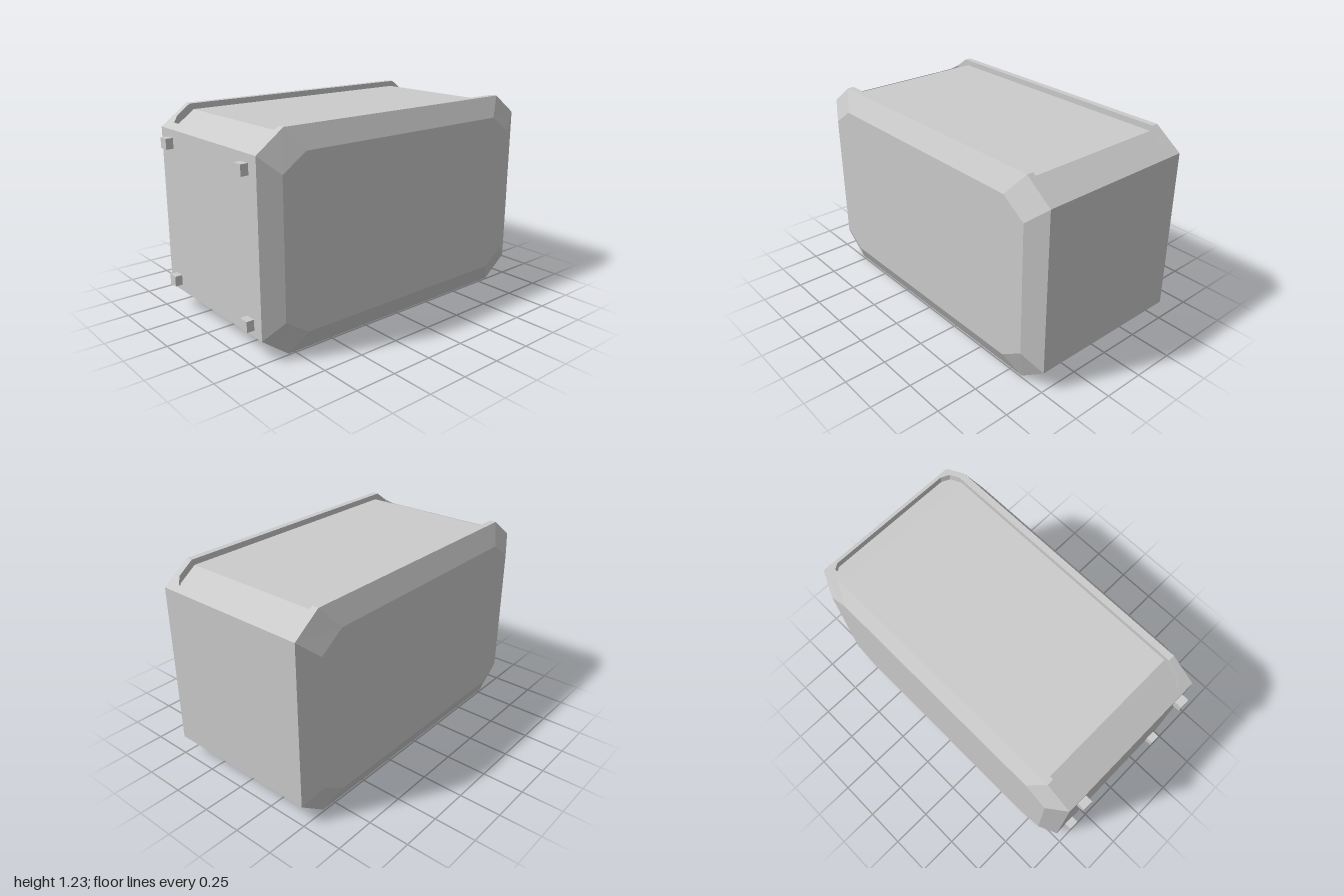
import * as THREE from 'three';

const material = new THREE.MeshStandardMaterial({ color: 0xcccccc, flatShading: true });

// Collects flat quads; each is wound so that it faces along the given direction.
class Panels {
  constructor() { this.positions = []; }
  quad(facing, ...corners) {
    const [a, b, c, d] = corners.map((p) => new THREE.Vector3(...p));
    const normal = c.clone().sub(a).cross(d.clone().sub(b));
    const order = normal.dot(new THREE.Vector3(...facing)) > 0 ? [a, b, c, a, c, d] : [a, c, b, a, d, c];
    order.forEach((v) => this.positions.push(v.x, v.y, v.z));
  }
  // The same quad on both sides of the centre plane
  both(facing, ...corners) {
    for (const s of [1, -1]) {
      this.quad([facing[0] * s, facing[1], facing[2]], ...corners.map(([x, y, z]) => [x * s, y, z]));
    }
  }
  mesh(name) {
    const geometry = new THREE.BufferGeometry();
    geometry.setAttribute('position', new THREE.Float32BufferAttribute(this.positions, 3));
    geometry.computeVertexNormals();
    const mesh = new THREE.Mesh(geometry, material);
    mesh.name = name;
    return mesh;
  }
}

const EDGE = 0.49, SIDE = 0.553, TOP = 1.225, FLOOR = 1.19;

// Side outlines as [z, y]: the body edge and the smaller raised side panel
const outer = [[0.79, TOP], [0.955, 1.105], [0.955, 0.125], [0.79, 0],
  [-0.835, 0], [-1, 0.125], [-1, 1.105], [-0.835, TOP]];
const inner = [[0.70, 1.105], [0.845, 1.005], [0.845, 0.22], [0.70, 0.125],
  [-0.74, 0.125], [-0.885, 0.22], [-0.885, 1.005], [-0.74, 1.105]];

function makeSides() {
  const p = new Panels();
  outer.forEach(([z, y], i) => {
    const j = (i + 1) % outer.length;
    const [z2, y2] = outer[j], [iz, iy] = inner[i], [jz, jy] = inner[j];
    p.both([1, 0, 0], [EDGE, y, z], [EDGE, y2, z2], [SIDE, jy, jz], [SIDE, iy, iz]);
    // Flat centre, fanned from the middle of the panel
    const mid = [SIDE, 0.61, -0.02];
    p.both([1, 0, 0], mid, [SIDE, iy, iz], [SIDE, (iy + jy) / 2, (iz + jz) / 2], [SIDE, jy, jz]);
  });
  return p.mesh('sidePanels');
}

function makeEnds() {
  const p = new Panels();
  // Front, back and the two lower bevels
  for (const [i, facing] of [[1, [0, 0, 1]], [2, [0, -1, 1]], [4, [0, -1, -1]], [5, [0, 0, -1]]]) {
    const [z, y] = outer[i], [z2, y2] = outer[i + 1];
    p.quad(facing, [-EDGE, y, z], [EDGE, y, z], [EDGE, y2, z2], [-EDGE, y2, z2]);
  }
  return p.mesh('endPanels');
}

// Top with a sunken lid that wraps over both end bevels
function makeTop() {
  const p = new Panels();
  const slope = 0.12 / 0.165;
  const roof = (z) => Math.min(TOP, TOP - (z - 0.79) * slope, TOP + (z + 0.835) * slope);
  const floor = (z) => Math.min(FLOOR, FLOOR - (z - 0.765) * slope, FLOOR + (z + 0.82) * slope);
  // Stations as [z, half width of the recess]
  const stations = [[0.915, 0.41], [0.873, 0.45], [0.79, 0.45], [0.765, 0.45],
    [-0.82, 0.45], [-0.835, 0.45], [-0.925, 0.45], [-0.965, 0.41]];
  const up = [0, 1, 0];
  for (let i = 0; i < stations.length - 1; i++) {
    const [z, w] = stations[i], [z2, w2] = stations[i + 1];
    p.both(up, [w, roof(z), z], [EDGE, roof(z), z], [EDGE, roof(z2), z2], [w2, roof(z2), z2]);
    p.both([-1, 0, 0], [w, roof(z), z], [w2, roof(z2), z2], [w2, floor(z2), z2], [w, floor(z), z]);
    p.quad(up, [-w, floor(z), z], [w, floor(z), z], [w2, floor(z2), z2], [-w2, floor(z2), z2]);
  }
  // Lower rims and short end walls of the recess
  for (const [z, end] of [[0.915, 0.955], [-0.965, -1]]) {
    p.quad(up, [-EDGE, roof(z), z], [EDGE, roof(z), z], [EDGE, 1.105, end], [-EDGE, 1.105, end]);
    p.quad([0, 0, -z], [-0.41, roof(z), z], [0.41, roof(z), z], [0.41, floor(z), z], [-0.41, floor(z), z]);
  }
  return p.mesh('recessedTop');
}

// Underside with a rectangular pocket in its front half
function makeUnderside() {
  const p = new Panels();
  const w = 0.445, front = 0.78, back = -0.02, depth = 0.08;
  const down = [0, -1, 0];
  const flat = (x, y, z, z2) => p.quad(down, [-x, y, z], [x, y, z], [x, y, z2], [-x, y, z2]);
  flat(EDGE, 0, 0.79, front);
  flat(EDGE, 0, back, -0.835);
  flat(w, depth, front, back);
  p.both(down, [w, 0, front], [EDGE, 0, front], [EDGE, 0, back], [w, 0, back]);
  p.both([-1, 0, 0], [w, 0, front], [w, depth, front], [w, depth, back], [w, 0, back]);
  for (const [z, dir] of [[front, -1], [back, 1]]) {
    p.quad([0, 0, dir], [-w, 0, z], [w, 0, z], [w, depth, z], [-w, depth, z]);
  }
  return p.mesh('underside');
}

export function createModel() {
  const model = new THREE.Group();
  model.name = 'case';
  model.add(makeSides(), makeEnds(), makeTop(), makeUnderside());

  // Four small square feet on the front
  const footGeometry = new THREE.BoxGeometry(0.062, 0.062, 0.055);
  for (const x of [-0.39, 0.39]) {
    for (const y of [0.194, 1.027]) {
      const foot = new THREE.Mesh(footGeometry, material);
      foot.name = 'foot';
      foot.position.set(x, y, 0.9725);
      model.add(foot);
    }
  }
  return model;
}
